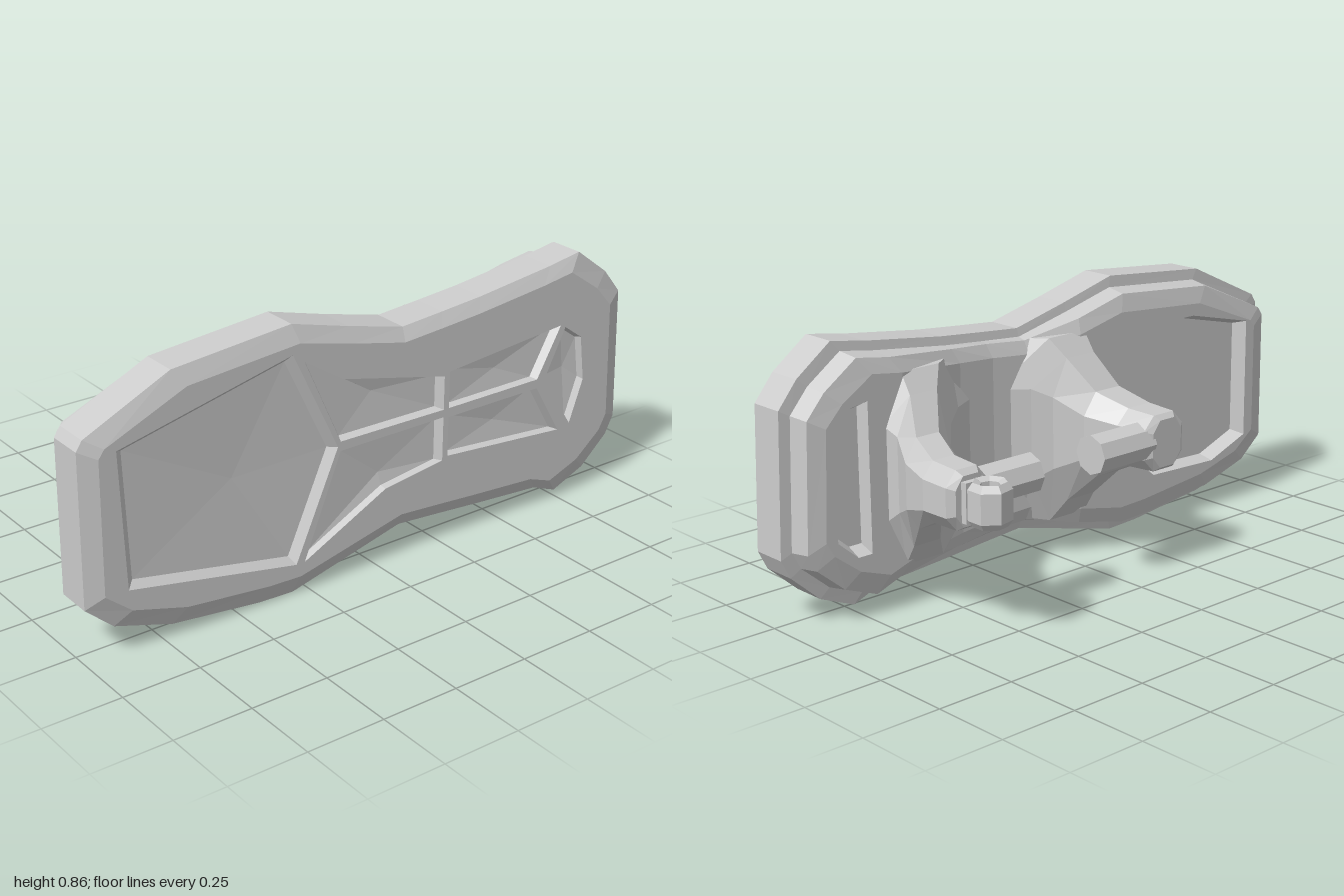
import * as THREE from 'three';

const material = new THREE.MeshStandardMaterial({ color: 0xcccccc, flatShading: true, side: THREE.DoubleSide });

// Plate outline and the recesses in it, as [z, y]
const outline = [
  [1, 0.18], [0.91, 0.1], [0.72, 0.04], [0.42, 0.005], [0.3, 0], [0.1, 0.05], [-0.1, 0.1], [-0.25, 0.088], [-0.4, 0.075],
  [-0.66, 0.055], [-0.75, 0.02], [-0.87, 0.07], [-0.97, 0.16], [-1, 0.22], [-0.985, 0.66], [-0.92, 0.74], [-0.8, 0.83],
  [-0.68, 0.81], [-0.4, 0.775], [-0.25, 0.762], [-0.1, 0.75], [0.1, 0.8], [0.3, 0.855], [0.7, 0.82], [0.98, 0.69], [1, 0.66],
];
const frontPanels = [
  [[0.89, 0.64], [0.31, 0.77], [0.15, 0.44], [0.3, 0.1], [0.87, 0.21]],
  [[0.27, 0.74], [0.13, 0.65], [-0.25, 0.56], [-0.25, 0.45], [0.14, 0.455]],
  [[-0.27, 0.57], [-0.72, 0.61], [-0.63, 0.45], [-0.27, 0.45]],
  [[0.27, 0.1], [0.14, 0.425], [-0.25, 0.425], [-0.25, 0.28], [-0.03, 0.25]],
  [[-0.27, 0.42], [-0.27, 0.29], [-0.73, 0.25], [-0.63, 0.42]],
  [[-0.66, 0.44], [-0.74, 0.6], [-0.81, 0.55], [-0.83, 0.4], [-0.78, 0.26]],
];
const frontPocket = [[0.86, 0.23], [0.86, 0.63], [0.6, 0.69], [0.4, 0.69], [0.28, 0.61], [0.23, 0.46], [0.28, 0.29], [0.42, 0.18], [0.7, 0.17]];
const rearPocket = [[-0.74, 0.2], [-0.79, 0.2], [-0.86, 0.26], [-0.86, 0.58], [-0.8, 0.65], [-0.74, 0.66]];

// Shrinks the outline towards the plate centre
const inset = (d) => outline.map(([z, y]) => [z * (1 - d), 0.43 + (y - 0.43) * (1 - d / 0.42)]);
const at = (pts, x) => pts.map(([z, y]) => [x, y, z]);
const centre = (pts) => pts.reduce((c, p) => [c[0] + p[0] / pts.length, c[1] + p[1] / pts.length], [0, 0]);
const shrink = (pts, k) => {
  const [cz, cy] = centre(pts);
  return pts.map(([z, y]) => [cz + (z - cz) * k, cy + (y - cy) * k]);
};

// How far the middle of the back is hollowed at z
const hollow = (z) => 0.055 * Math.sqrt(Math.max(0, 1 - Math.abs(z + 0.25) / 0.34));
const hollowed = (pts, x) => pts.map(([z, y]) => [x + hollow(z), y, z]);

// Joins rings of points; an apex point closes the last ring
function loft(rings, apex) {
  const pos = [];
  const n = rings[0].length;
  for (let i = 0; i < n; i++) {
    const j = (i + 1) % n;
    for (let r = 0; r + 1 < rings.length; r++) {
      const a = rings[r], b = rings[r + 1];
      pos.push(...a[i], ...a[j], ...b[j], ...a[i], ...b[j], ...b[i]);
    }
    const last = rings[rings.length - 1];
    if (apex) pos.push(...apex, ...last[i], ...last[j]);
  }
  const g = new THREE.BufferGeometry();
  g.setAttribute('position', new THREE.Float32BufferAttribute(pos, 3));
  g.computeVertexNormals();
  return g;
}

// Flat face with openings at a given x
function face(pts, holes, x) {
  const vec = (list) => list.map(([z, y]) => new THREE.Vector2(-z, y));
  const shape = new THREE.Shape(vec(pts));
  shape.holes = holes.map((h) => new THREE.Path(vec(h)));
  return new THREE.ShapeGeometry(shape).rotateY(Math.PI / 2).translate(x, 0, 0);
}

// Recess with sloping walls and a faceted floor
function recess(pts, x, k, floorX, apexX) {
  const [cz, cy] = centre(pts);
  return loft([at(pts, x), at(shrink(pts, k), floorX)], [apexX, cy, cz]);
}

// Eight-sided cross-section of a post: x, z range, y range
function postRing([x, z0, z1, y0, y1]) {
  const cz = (z1 - z0) * 0.25, cy = (y1 - y0) * 0.25;
  return at([[z0 + cz, y0], [z0, y0 + cy], [z0, y1 - cy], [z0 + cz, y1],
    [z1 - cz, y1], [z1, y1 - cy], [z1, y0 + cy], [z1 - cz, y0]], x);
}

export function createModel() {
  const model = new THREE.Group();
  const add = (name, geometry, parent = model) => {
    const mesh = new THREE.Mesh(geometry, material);
    mesh.name = name;
    parent.add(mesh);
    return mesh;
  };
  const addGroup = (name) => {
    const group = new THREE.Group();
    group.name = name;
    model.add(group);
    return group;
  };

  // Main plate with a bevelled face and sunken facets
  const plate = addGroup('plate');
  add('plateSide', loft([at(inset(0.035), 0.195), at(outline, 0.2), at(outline, 0.315), at(inset(0.055), 0.336)]), plate);
  add('plateFace', face(inset(0.055), frontPanels, 0.336), plate);
  frontPanels.forEach((pts) => add('facePanel', recess(pts, 0.336, 0.93, 0.312, 0.304), plate));

  // Raised rim on the back: two pocketed ends joined by a hollowed bridge
  const rim = addGroup('backRim');
  const edge = inset(0.1);
  add('rimSide', loft([at(inset(0.035), 0.195), hollowed(inset(0.045), 0.13), hollowed(edge, 0.115)]), rim);
  add('frontRimFace', face([...edge.slice(21), ...edge.slice(0, 6)], [frontPocket], 0.115), rim);
  add('rearRimFace', face(edge.slice(9, 18), [rearPocket], 0.115), rim);
  add('bridge', loft([5, 6, 7, 8, 9].map((k) => {
    const low = edge[k], high = edge[26 - k];
    return [...at([low], 0.195), ...hollowed([low, high], 0.115), ...at([high], 0.195)];
  })), rim);
  add('frontPocket', recess(frontPocket, 0.115, 0.94, 0.16, 0.16), rim);
  add('rearPocket', recess(rearPocket, 0.115, 0.9, 0.16, 0.16), rim);

  // Two flared posts
  add('frontPost', loft([
    [0.19, -0.2, 0.2, 0.14, 0.72], [0.125, -0.11, 0.19, 0.13, 0.72], [0.08, -0.06, 0.17, 0.2, 0.66],
    [0, -0.005, 0.195, 0.285, 0.56], [-0.1, 0.04, 0.225, 0.335, 0.52], [-0.2, 0.055, 0.22, 0.338, 0.515],
    [-0.215, 0.08, 0.2, 0.35, 0.5]].map(postRing), [-0.215, 0.43, 0.14]));
  add('rearPost', loft([
    [0.19, -0.7, -0.27, 0.14, 0.72], [0.125, -0.68, -0.4, 0.13, 0.72], [0.08, -0.665, -0.465, 0.2, 0.66],
    [0, -0.7, -0.535, 0.285, 0.56], [-0.1, -0.72, -0.565, 0.335, 0.52], [-0.2, -0.72, -0.57, 0.338, 0.515],
    [-0.22, -0.7, -0.59, 0.35, 0.5]].map(postRing), [-0.22, 0.43, -0.645]));

  // Pegs facing each other between the posts
  [[-0.13, 0.09], [-0.585, -0.37]].forEach(([z0, z1]) => {
    const peg = add('peg', new THREE.CylinderGeometry(0.062, 0.062, z1 - z0, 8).rotateX(Math.PI / 2));
    peg.position.set(-0.16, 0.43, (z0 + z1) / 2);
  });

  // Small eyelet on the rear post
  const profile = [[0.03, -0.055], [0.05, -0.065], [0.065, -0.045], [0.065, 0.045], [0.05, 0.065], [0.03, 0.055], [0.03, -0.055]];
  const eyelet = add('eyelet', new THREE.LatheGeometry(profile.map(([r, y]) => new THREE.Vector2(r, y)), 7));
  eyelet.position.set(-0.278, 0.425, -0.625);
  const neck = add('eyeletNeck', new THREE.BoxGeometry(0.05, 0.12, 0.08));
  neck.position.set(-0.215, 0.425, -0.64);

  return model;
}
